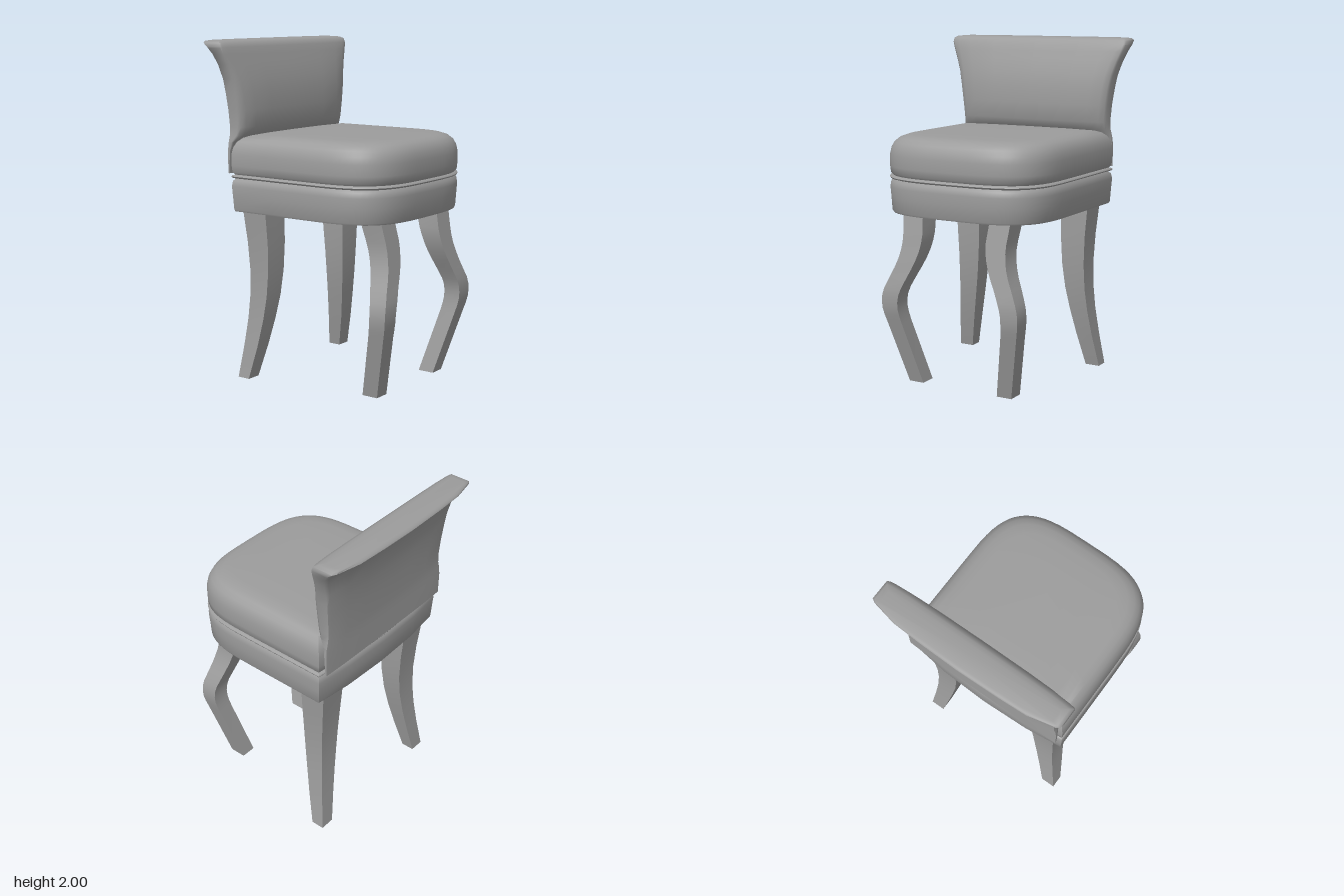
import * as THREE from 'three';
import { toCreasedNormals } from 'three/addons/utils/BufferGeometryUtils.js';

const material = new THREE.MeshStandardMaterial({ color: 0x9c9c9c });

// Skins closed loops of [x, y, z], stacked upward, and caps both ends.
// Each loop runs towards +x along the front.
function loft(name, loops, crease) {
  const n = loops[0].length;
  const pos = loops.flat(2);
  const index = [];
  for (let i = 0; i < loops.length - 1; i++) {
    for (let j = 0; j < n; j++) {
      const a = i * n + j, b = i * n + (j + 1) % n;
      index.push(a, b, b + n, a, b + n, a + n);
    }
  }
  const cap = (row, up) => {
    const c = pos.length / 3;
    const sum = [0, 1, 2].map(k => loops[row].reduce((s, p) => s + p[k], 0) / n);
    pos.push(...sum);
    for (let j = 0; j < n; j++) {
      const a = row * n + j, b = row * n + (j + 1) % n;
      if (up) index.push(c, a, b); else index.push(c, b, a);
    }
  };
  cap(0, false);
  cap(loops.length - 1, true);
  const geo = new THREE.BufferGeometry();
  geo.setAttribute('position', new THREE.Float32BufferAttribute(pos, 3));
  geo.setIndex(index);
  const mesh = new THREE.Mesh(toCreasedNormals(geo, crease), material);
  mesh.name = name;
  return mesh;
}

// Completes a right-hand half outline, front to back, with its mirror image.
const mirrorLoop = half =>
  [...half, ...half.slice(1, -1).reverse().map(([x, z]) => [-x, z])];

// Seat plan: superelliptic front, straight sides, sharp rear corners, bowed back
function seatOutline() {
  const half = [];
  const steps = 16, power = 2 / 3.5;
  for (let i = 0; i <= steps; i++) {
    const a = (i / steps) * Math.PI / 2;
    half.push([0.532 * Math.sin(a) ** power, 0.1 + 0.515 * Math.max(0, Math.cos(a)) ** power]);
  }
  half.push([0.532, -0.15], [0.532, -0.412], [0.3, -0.44], [0, -0.45]);
  return mirrorLoop(half);
}

// Seat layers follow the plan, drawn in by an inset at each height
function seatLayer(name, profile) {
  const outline = seatOutline();
  const midZ = 0.08;
  return loft(name, profile.map(([y, inset]) => {
    const k = 1 - inset / 0.532;
    return outline.map(([x, z]) => [x * k, y, midZ + (z - midZ) * k]);
  }), 0.8);
}

// Backrest rows: height, half width, front z, back z, front rounding, back rounding
function backrest() {
  const rows = [
    [1.23, 0.515, -0.44, -0.46, 0.003, 0.008],
    [1.36, 0.517, -0.43, -0.46, 0.006, 0.008],
    [1.41, 0.511, -0.41, -0.46, 0.015, 0.01],
    [1.45, 0.5, -0.362, -0.462, 0.035, 0.012],
    [1.5, 0.497, -0.336, -0.465, 0.05, 0.015],
    [1.6, 0.505, -0.33, -0.472, 0.05, 0.018],
    [1.7, 0.519, -0.336, -0.482, 0.045, 0.022],
    [1.78, 0.535, -0.35, -0.495, 0.04, 0.03],
    [1.86, 0.562, -0.372, -0.513, 0.03, 0.037],
    [1.92, 0.586, -0.392, -0.54, 0.02, 0.046],
    [1.96, 0.6, -0.405, -0.577, 0.015, 0.055],
    [1.985, 0.598, -0.418, -0.613, 0.012, 0.06],
    [1.996, 0.582, -0.44, -0.606, 0.01, 0.05],
    [2.0, 0.55, -0.465, -0.59, 0.01, 0.04],
  ];
  return loft('backrest', rows.map(([y, w, zf, zb, f, e]) => mirrorLoop([
    [0, zf], [0.5 * w, zf - 0.05 * f], [0.78 * w, zf - 0.18 * f],
    [0.92 * w, zf - 0.5 * f], [0.98 * w, zf - 0.8 * f], [w, zf - 1.15 * f],
    [w, zb + e], [0.96 * w, zb + 0.75 * e], [0.71 * w, zb + 0.22 * e],
    [0.4 * w, zb + 0.08 * e], [0, zb],
  ]).map(([x, z]) => [x, y, z])), 1.25);
}

// Square-section leg; rows give height, inner x, outer x, rear z, front z
function leg(name, rows, side) {
  return loft(name, rows.map(([y, xi, xo, z0, z1]) => {
    const [a, b] = side > 0 ? [xi, xo] : [-xo, -xi];
    return [[a, y, z1], [b, y, z1], [b, y, z0], [a, y, z0]];
  }), 0.6);
}

export function createModel() {
  const group = new THREE.Group();
  group.name = 'chair';

  // Upholstered seat
  group.add(seatLayer('seatBase', [
    [1.01, 0.014], [1.02, 0.009], [1.1, 0.004], [1.16, 0], [1.19, 0.005], [1.207, 0.02],
  ]));
  group.add(seatLayer('seatPiping', [
    [1.203, 0.02], [1.209, 0.002], [1.216, -0.002], [1.223, 0.002], [1.228, 0.02],
  ]));
  group.add(seatLayer('seatCushion', [
    [1.222, 0.02], [1.24, 0.004], [1.28, 0], [1.345, 0], [1.385, 0.008],
    [1.417, 0.024], [1.44, 0.05], [1.453, 0.085], [1.459, 0.14], [1.462, 0.3],
  ]));
  group.add(backrest());

  // S-curved front legs and swept back legs
  const frontRows = [
    [0, 0.25, 0.345, 0.39, 0.49],
    [0.37, 0.33, 0.43, 0.487, 0.588],
    [0.42, 0.339, 0.442, 0.499, 0.602],
    [0.46, 0.343, 0.449, 0.506, 0.61],
    [0.5, 0.343, 0.451, 0.509, 0.613],
    [0.54, 0.336, 0.447, 0.508, 0.613],
    [0.58, 0.322, 0.435, 0.502, 0.609],
    [0.65, 0.289, 0.403, 0.481, 0.593],
    [0.7, 0.263, 0.379, 0.467, 0.583],
    [0.75, 0.241, 0.36, 0.452, 0.573],
    [0.8, 0.224, 0.347, 0.438, 0.562],
    [0.85, 0.214, 0.341, 0.424, 0.552],
    [0.9, 0.211, 0.342, 0.409, 0.542],
    [1.02, 0.222, 0.355, 0.375, 0.517],
  ];
  const backRows = [
    [0, 0.41, 0.5, -0.41, -0.33],
    [0.2, 0.368, 0.472, -0.384, -0.283],
    [0.36, 0.336, 0.453, -0.367, -0.253],
    [0.5, 0.312, 0.443, -0.358, -0.233],
    [0.65, 0.296, 0.441, -0.357, -0.221],
    [0.82, 0.289, 0.448, -0.368, -0.216],
    [1.02, 0.289, 0.464, -0.388, -0.22],
  ];
  for (const [label, side] of [['Left', 1], ['Right', -1]]) {
    group.add(leg('front' + label + 'Leg', frontRows, side));
    group.add(leg('back' + label + 'Leg', backRows, side));
  }
  return group;
}
